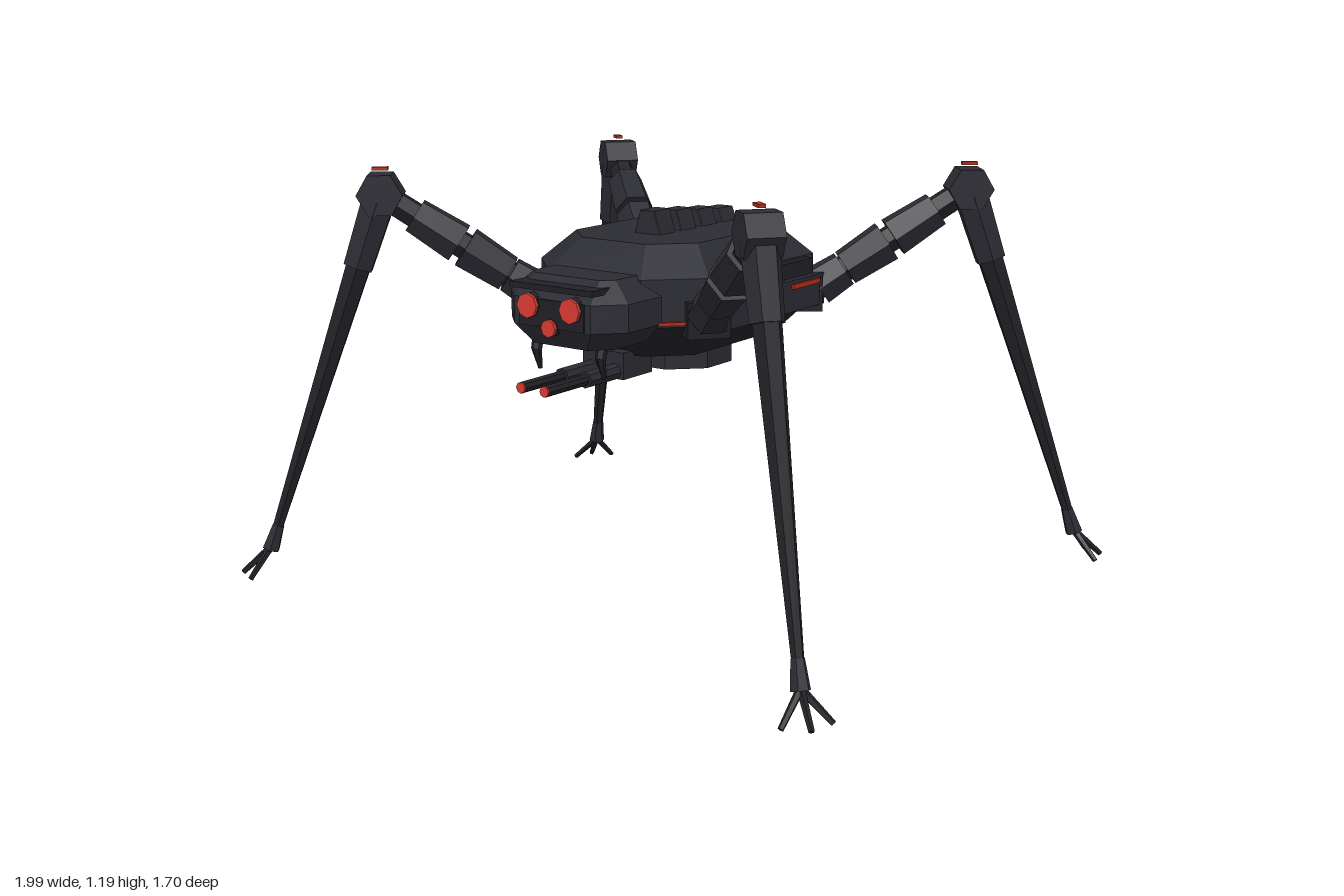
import * as THREE from 'three';

const mat = (name, color) => {
  const m = new THREE.MeshStandardMaterial({ color, flatShading: true });
  m.name = name;
  return m;
};

// Stacked octagonal rings [y, halfX, halfZ, chamfer], closed at both ends
function loft(rings) {
  const pos = [];
  const loops = rings.map(([y, x, z, c]) => [
    [x, z - c], [x, c - z], [x - c, -z], [c - x, -z],
    [-x, c - z], [-x, z - c], [c - x, z], [x - c, z],
  ].map(([px, pz]) => [px, y, pz]));
  const tri = (a, b, c) => pos.push(...a, ...b, ...c);
  for (let k = 0; k < loops.length - 1; k++) {
    const a = loops[k], b = loops[k + 1];
    for (let i = 0; i < 8; i++) {
      const j = (i + 1) % 8;
      tri(a[i], a[j], b[j]);
      tri(a[i], b[j], b[i]);
    }
  }
  const bottom = loops[0], top = loops[loops.length - 1];
  for (let i = 1; i < 7; i++) {
    tri(top[0], top[i], top[i + 1]);
    tri(bottom[0], bottom[i + 1], bottom[i]);
  }
  const g = new THREE.BufferGeometry();
  g.setAttribute('position', new THREE.Float32BufferAttribute(pos, 3));
  g.computeVertexNormals();
  return g;
}

export function createModel() {
  const root = new THREE.Group();
  root.name = 'walker';
  const armor = mat('charcoal armor', 0x2b2b33);
  const dark = mat('dark frame', 0x212126);
  const trim = mat('red trim', 0xb52c18);
  const glow = mat('red lens', 0xd83a30);

  const add = (parent, name, geo, material, x = 0, y = 0, z = 0) => {
    const m = new THREE.Mesh(geo, material);
    m.name = name;
    m.position.set(x, y, z);
    parent.add(m);
    return m;
  };
  const box = (p, name, m, w, h, d, x, y, z) => add(p, name, new THREE.BoxGeometry(w, h, d), m, x, y, z);
  // Tapered prism between two points
  const beam = (p, name, m, a, b, r0, r1, sides = 6) => {
    const A = new THREE.Vector3(...a), B = new THREE.Vector3(...b);
    const dir = B.clone().sub(A);
    const mesh = add(p, name, new THREE.CylinderGeometry(r1, r0, dir.length(), sides), m);
    mesh.position.copy(A).add(B).multiplyScalar(0.5);
    mesh.quaternion.setFromUnitVectors(new THREE.Vector3(0, 1, 0), dir.normalize());
    return mesh;
  };

  // Hull
  add(root, 'lowerHull', loft([[0.70, 0.2, 0.3, 0.1], [0.80, 0.29, 0.39, 0.13]]), dark);
  add(root, 'upperHull', loft([[0.80, 0.29, 0.39, 0.13], [0.93, 0.29, 0.39, 0.13], [1.01, 0.21, 0.3, 0.1]]), armor);
  add(root, 'hullTrim', loft([[0.806, 0.296, 0.397, 0.13], [0.815, 0.296, 0.397, 0.13]]), trim);

  // Side rails with red marker lights
  for (const s of [-1, 1]) {
    box(root, 'sideRail', armor, 0.06, 0.09, 0.5, s * 0.305, 0.835, 0);
    box(root, 'upperSideRail', dark, 0.03, 0.05, 0.44, s * 0.30, 0.9, 0);
    box(root, 'sideStripe', trim, 0.008, 0.014, 0.14, s * 0.337, 0.862, -0.15);
    for (const z of [0.13, 0.01]) box(root, 'sideLight', trim, 0.008, 0.014, 0.022, s * 0.337, 0.862, z);
  }

  // Dorsal fins, lower towards the back
  for (let i = 0; i < 4; i++) {
    const g = loft([[0, 0.05, 0.037, 0.002], [0.085 - i * 0.009, 0.025, 0.037, 0.002]]);
    add(root, 'dorsalFin', g, armor, 0, 0.99, 0.11 - i * 0.103);
  }

  // Rear power pack
  add(root, 'rearPack', loft([[0.80, 0.09, 0.075, 0.03], [0.82, 0.11, 0.08, 0.035],
    [0.90, 0.11, 0.08, 0.035], [0.92, 0.09, 0.07, 0.03]]), armor, 0, 0, -0.44);
  box(root, 'rearStripe', trim, 0.14, 0.014, 0.008, 0, 0.87, -0.522);

  // Head
  const head = new THREE.Group();
  head.name = 'head';
  root.add(head);
  add(head, 'skull', loft([[0.755, 0.14, 0.13, 0.05], [0.81, 0.2, 0.165, 0.07],
    [0.885, 0.2, 0.165, 0.07], [0.94, 0.14, 0.1, 0.03]]), armor, 0, 0, 0.4);
  box(head, 'brow', dark, 0.28, 0.016, 0.09, 0, 0.916, 0.525);
  box(head, 'facePlate', dark, 0.22, 0.075, 0.012, 0, 0.848, 0.564);
  for (const [x, y, r] of [[-0.072, 0.866, 0.034], [0.072, 0.866, 0.034], [0, 0.812, 0.024]]) {
    add(head, 'eyeSocket', new THREE.CylinderGeometry(r, r, 0.03, 8).rotateX(Math.PI / 2), dark, x, y, 0.56);
    add(head, 'eye', new THREE.CylinderGeometry(r, r, 0.008, 8).rotateX(Math.PI / 2), glow, x, y, 0.579);
  }
  for (const s of [-1, 1]) {
    beam(head, 'mandible', dark, [s * 0.11, 0.79, 0.485], [s * 0.11, 0.73, 0.5], 0.017, 0.015);
    beam(head, 'mandibleTip', dark, [s * 0.11, 0.735, 0.5], [s * 0.11, 0.675, 0.485], 0.015, 0.006);
  }

  // Twin gun under the head
  const gun = new THREE.Group();
  gun.name = 'twinGun';
  root.add(gun);
  box(gun, 'gunHousing', armor, 0.14, 0.075, 0.13, 0, 0.677, 0.285);
  box(gun, 'gunMount', dark, 0.07, 0.09, 0.07, 0, 0.735, 0.27);
  for (const s of [-1, 1]) {
    const x = s * 0.04;
    beam(gun, 'barrelSleeve', armor, [x, 0.66, 0.34], [x, 0.66, 0.48], 0.023, 0.023, 8);
    beam(gun, 'barrel', dark, [x, 0.66, 0.47], [x, 0.66, 0.645], 0.016, 0.016, 8);
    beam(gun, 'muzzle', glow, [x, 0.66, 0.643], [x, 0.66, 0.65], 0.015, 0.015, 8);
  }

  // Belly pod
  add(root, 'bellyPod', loft([[0.63, 0.145, 0.145, 0.085], [0.71, 0.145, 0.145, 0.085]]), armor);
  add(root, 'bellyLamp', loft([[0.621, 0.078, 0.078, 0.045], [0.63, 0.078, 0.078, 0.045]]), trim);

  // Legs: built in a plane, local x pointing outward
  const hip = [0, 0.81], knee = [0.467, 1.115], ankle = [0.82, 0.08];
  const along = (a, b, t) => [a[0] + (b[0] - a[0]) * t, a[1] + (b[1] - a[1]) * t, 0];
  const yaw = Math.atan2(0.22, 0.275);
  for (const sx of [-1, 1]) for (const sz of [-1, 1]) {
    const leg = new THREE.Group();
    leg.name = (sz > 0 ? 'front' : 'rear') + (sx > 0 ? 'Left' : 'Right') + 'Leg';
    leg.position.set(sx * 0.27, 0, sz * 0.25);
    leg.rotation.y = Math.atan2(-sz * Math.sin(yaw), sx * Math.cos(yaw));
    root.add(leg);

    const upper = (name, m, t0, t1, r0, r1) =>
      beam(leg, name, m, along(hip, knee, t0), along(hip, knee, t1), r0, r1);
    const lower = (name, m, t0, t1, r0, r1) =>
      beam(leg, name, m, along(knee, ankle, t0), along(knee, ankle, t1), r0, r1);

    box(leg, 'hipBlock', dark, 0.11, 0.1, 0.12, -0.01, 0.82, 0);
    upper('upperStrut', dark, 0, 1, 0.042, 0.038);
    upper('hipCollar', armor, 0.08, 0.24, 0.062, 0.055);
    upper('innerThighArmor', armor, 0.25, 0.5, 0.056, 0.064);
    upper('outerThighArmor', armor, 0.54, 0.8, 0.062, 0.054);

    add(leg, 'kneeJoint', new THREE.CylinderGeometry(0.065, 0.065, 0.1, 6)
      .rotateY(Math.PI / 6).rotateX(Math.PI / 2), armor, knee[0], knee[1], 0);
    box(leg, 'kneeLight', trim, 0.045, 0.009, 0.02, knee[0], 1.186, 0);

    lower('shinCuff', armor, 0.02, 0.2, 0.052, 0.046);
    lower('shin', dark, 0.15, 0.98, 0.04, 0.015);
    lower('ankle', armor, 0.93, 1.0, 0.018, 0.026);

    // Three splayed claws
    for (const a of [-0.91, 0, 0.91]) {
      beam(leg, 'claw', dark, [ankle[0], 0.085, 0],
        [ankle[0] + 0.083 * Math.cos(a), 0.01, 0.083 * Math.sin(a)], 0.011, 0.008, 5);
    }
  }
  return root;
}
